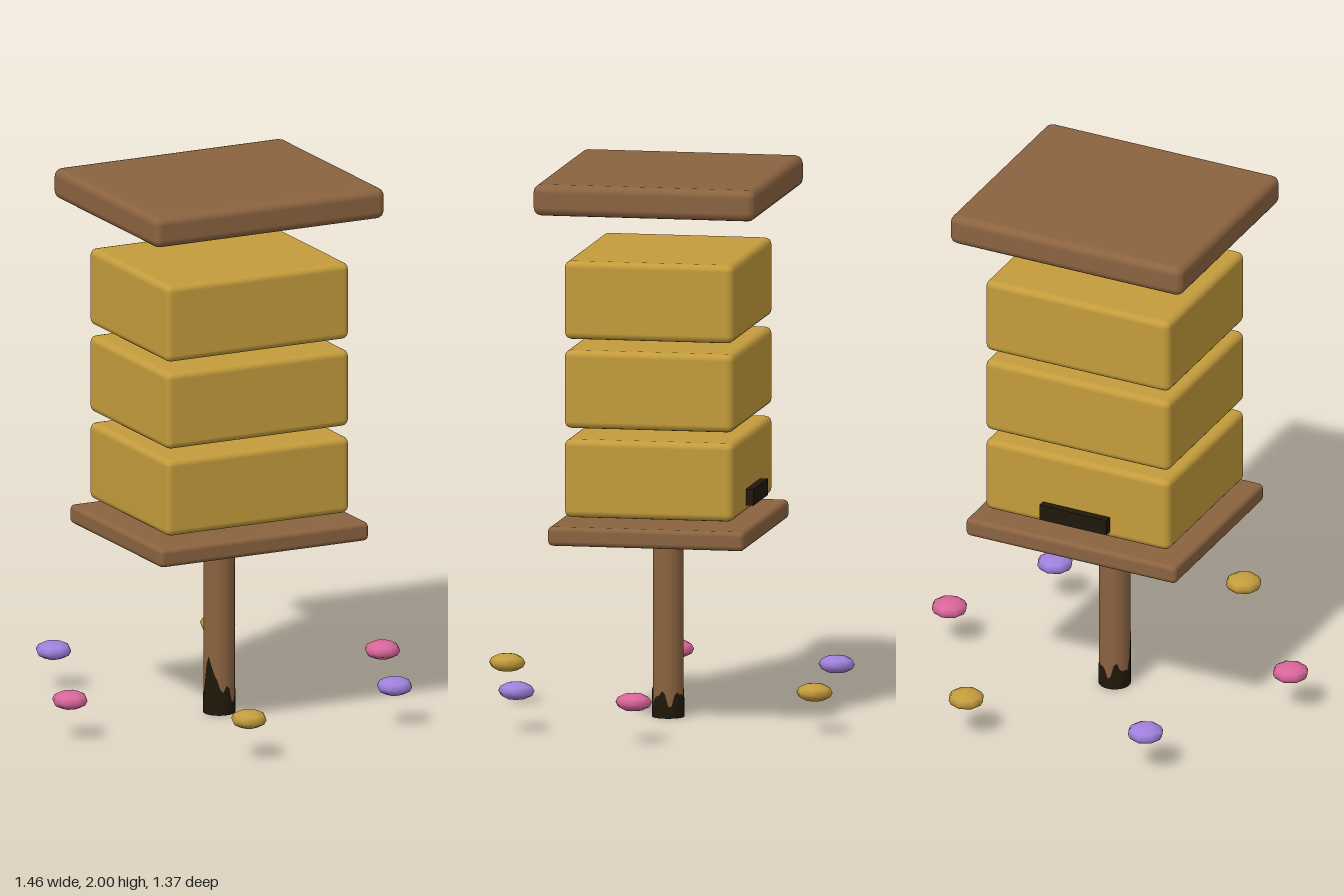
import * as THREE from 'three';
import { RoundedBoxGeometry } from 'three/addons/geometries/RoundedBoxGeometry.js';

const CX = -0.006, CZ = -0.019; // hive axis

export function createModel() {
  const model = new THREE.Group();
  model.name = 'beehive';

  const mat = (name, color, extra = {}) => {
    const m = new THREE.MeshStandardMaterial({ color, ...extra });
    m.name = name;
    return m;
  };
  const wood = mat('wood', 0x8b6340);
  const honey = mat('honey', 0xc49c3c);
  const dark = mat('dark', 0x20180a, { side: THREE.DoubleSide });
  const pink = mat('pink', 0xd9669a);
  const purple = mat('purple', 0xa080dc);

  const add = (name, geometry, material, x, y, z) => {
    const mesh = new THREE.Mesh(geometry, material);
    mesh.name = name;
    mesh.position.set(x, y, z);
    model.add(mesh);
    return mesh;
  };
  const slab = (name, w, h, d, r, y, material) =>
    add(name, new RoundedBoxGeometry(w, h, d, 2, r), material, CX, y, CZ);

  // Roof, three stacked boxes and the base board
  slab('roof', 0.94, 0.114, 0.82, 0.03, 1.943, wood);
  for (let i = 0; i < 3; i++) {
    slab('hiveBox' + (i + 1), 0.745, 0.286, 0.625, 0.025, 0.915 + i * 0.326, honey);
  }
  slab('baseBoard', 0.85, 0.07, 0.726, 0.018, 0.709, wood);

  // Entrance slot on the back of the lowest box
  add('entrance', new THREE.BoxGeometry(0.27, 0.06, 0.03), dark, CX, 0.83, -0.345);

  // Post
  add('post', new THREE.CylinderGeometry(0.057, 0.057, 0.68, 16), wood, CX, 0.34, CZ);

  // Dark foot of the post: a thin sleeve with a ragged upper edge
  const foot = new THREE.CylinderGeometry(0.0585, 0.0585, 1, 32, 1, true);
  const p = foot.attributes.position;
  for (let i = 0; i < p.count; i++) {
    const a = Math.atan2(p.getZ(i), p.getX(i));
    const streak = Math.max(0, Math.cos(a - 2.6)) ** 6 * 0.12;
    const height = 0.075 + streak + 0.025 * Math.sin(5 * a) + 0.015 * Math.sin(9 * a + 1);
    p.setY(i, p.getY(i) > 0 ? height : 0);
  }
  add('postFoot', foot, dark, CX, 0, CZ);
  const sole = add('postSole', new THREE.CircleGeometry(0.0585, 32), dark, CX, 0, CZ);
  sole.rotation.x = Math.PI / 2;

  // Ring of flattened flower heads
  const flower = new THREE.SphereGeometry(0.067, 8, 6).scale(1, 0.5, 1);
  [
    [0.66, -0.022, pink], [0.467, 0.448, purple], [-0.212, 0.615, honey],
    [-0.666, 0.082, pink], [-0.4, -0.563, purple], [0.297, -0.618, honey],
  ].forEach(([x, z, m], i) => add('flower' + (i + 1), flower, m, x, 0.15, z));

  return model;
}
